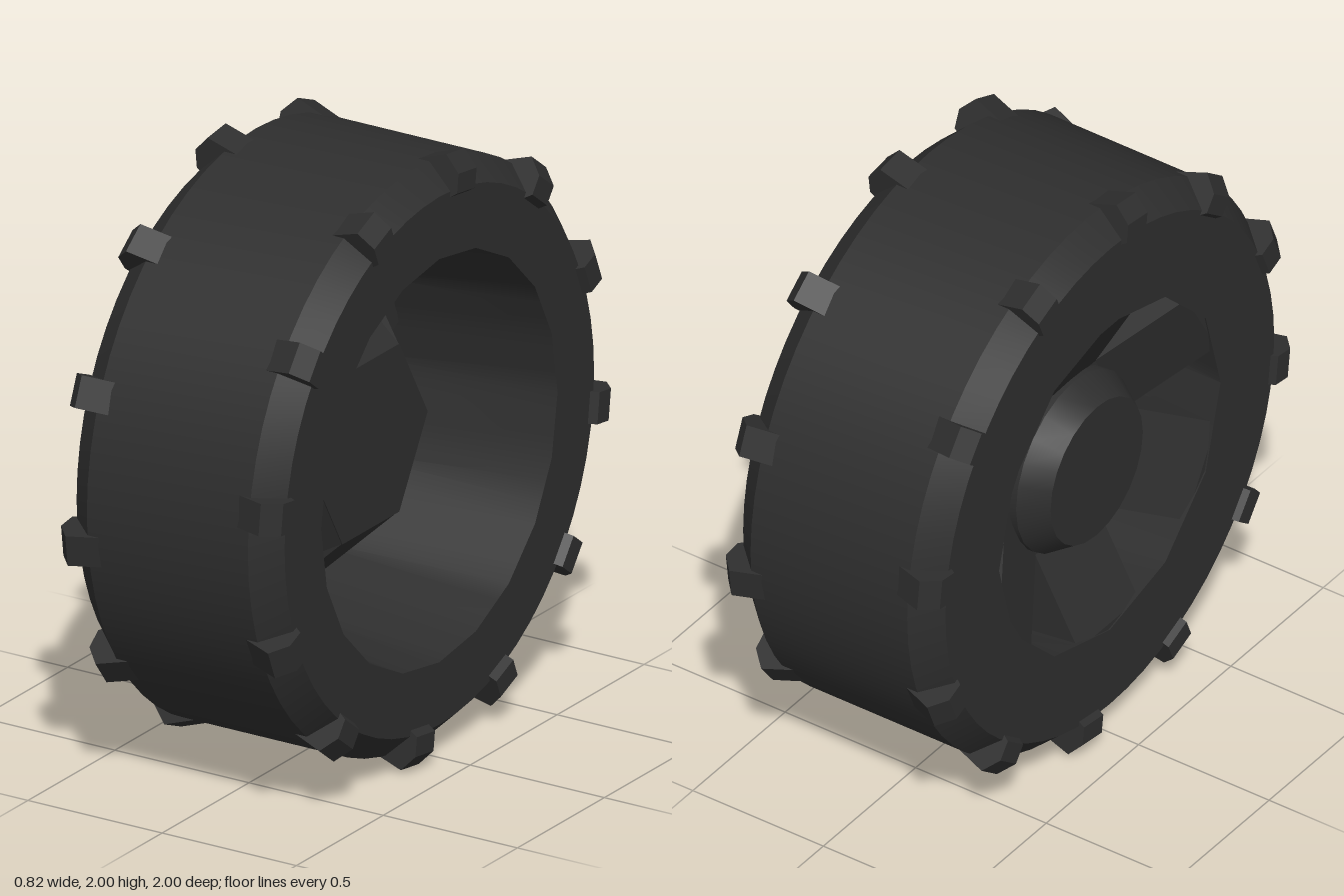
import * as THREE from 'three';
import { toCreasedNormals } from 'three/addons/utils/BufferGeometryUtils.js';

const rubber = new THREE.MeshStandardMaterial({ color: 0x2e2e2e });

// Bar with an (axial, radial) profile, extruded across the tangent direction
function bar(points, width) {
  const shape = new THREE.Shape(points.map(([x, r]) => new THREE.Vector2(x, r)));
  return new THREE.ExtrudeGeometry(shape, { depth: width, bevelEnabled: false })
    .translate(0, 0, -width / 2);
}

// Radius of a regular polygon with n corners at angle phi
function polygonRadius(r, n, phi) {
  const step = (2 * Math.PI) / n;
  const a = ((phi % step) + step) % step;
  return (r * Math.cos(step / 2)) / Math.cos(a - step / 2);
}

// Closed tyre ring; its bore goes from 20 sides at one end to 12 at the other
function tyreGeometry() {
  const profile = [
    [0.6, -0.39], [0.89, -0.39], [0.97, -0.3], [0.97, 0.3],
    [0.89, 0.385], [0.68, 0.385], [0.6, -0.39],
  ].map(([r, x]) => new THREE.Vector2(r, x));
  const geometry = new THREE.LatheGeometry(profile, 60);
  const p = geometry.attributes.position;
  for (let i = 0; i < p.count; i++) {
    const r = Math.hypot(p.getX(i), p.getZ(i));
    if (r > 0.7) continue;
    const phi = Math.atan2(p.getX(i), p.getZ(i));
    const snapped = polygonRadius(r, r < 0.64 ? 12 : 20, phi + 1e-9);
    p.setX(i, snapped * Math.sin(phi));
    p.setZ(i, snapped * Math.cos(phi));
  }
  return toCreasedNormals(geometry.rotateZ(-Math.PI / 2), 0.5);
}

export function createModel() {
  const model = new THREE.Group();
  model.name = 'wheel';
  const wheel = new THREE.Group();
  wheel.name = 'wheelAssembly';
  wheel.position.y = 1;
  model.add(wheel);

  function add(name, geometry, angle = 0) {
    const mesh = new THREE.Mesh(geometry, rubber);
    mesh.name = name;
    mesh.rotation.x = angle;
    wheel.add(mesh);
  }

  add('tyre', tyreGeometry());

  // Staggered tread lugs wrapped over both shoulders
  const lug = [[0.22, 0.955], [0.36, 1.003], [0.41, 0.95], [0.41, 0.885], [0.38, 0.865], [0.22, 0.9]];
  const leftLug = bar(lug, 0.105);
  const rightLug = bar(lug.map(([x, r]) => [-x, r]), 0.105);
  for (let i = 0; i < 12; i++) {
    const angle = (i * Math.PI) / 6;
    add('leftTreadLug', leftLug, angle - Math.PI / 24);
    add('rightTreadLug', rightLug, angle + Math.PI / 24);
  }

  // Spokes dish inward from the rim to the hub
  const spoke = bar([
    [0.13, 0.28], [-0.15, 0.54], [-0.15, 0.62], [-0.385, 0.61], [-0.385, 0.58], [-0.22, 0.28],
  ], 0.327);
  for (let i = 0; i < 6; i++) add('spoke', spoke, (i * Math.PI) / 3);

  // Six-sided hub with a round bevelled cap on the outer side
  const hub = new THREE.CylinderGeometry(0.327, 0.327, 0.35, 6)
    .rotateZ(-Math.PI / 2).translate(-0.045, 0, 0);
  add('hub', toCreasedNormals(hub, 0.5));
  const cap = new THREE.LatheGeometry([
    [0, -0.34], [0.25, -0.34], [0.31, -0.25], [0.31, -0.18],
  ].map(([r, x]) => new THREE.Vector2(r, x)), 24).rotateZ(-Math.PI / 2);
  add('hubCap', toCreasedNormals(cap, 0.5));

  return model;
}
